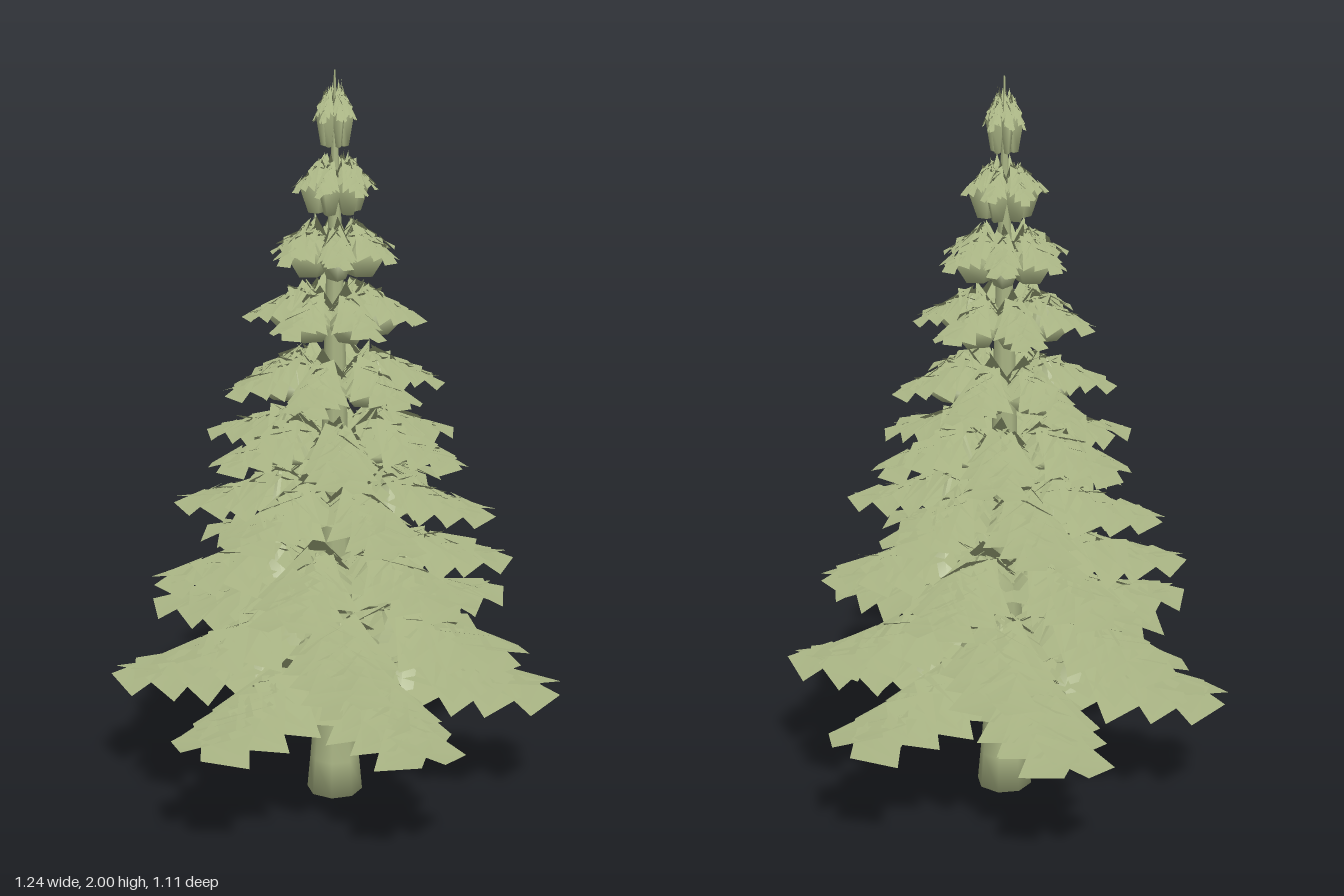
import * as THREE from 'three';

const green = new THREE.MeshStandardMaterial({ color: 0xa9b484, side: THREE.DoubleSide });
green.name = 'pale green';

// Tiers from bottom to top: [base height, reach, height of the skirt above the base]
const TIERS = [
  [0.295, 0.62, 0.043], [0.455, 0.56, 0.04], [0.625, 0.5, 0.04], [0.795, 0.435, 0.04],
  [0.96, 0.38, 0.04], [1.12, 0.3, 0.05], [1.295, 0.245, 0.055], [1.46, 0.185, 0.06],
  [1.625, 0.115, 0.068], [1.8, 0.058, 0.07],
];
const PEAK = 0.175;
const TURN = THREE.MathUtils.degToRad(20);

// Needle card pairs on one bough, as fractions of reach: [start, length, width, splay in degrees]
const CARDS = [
  [0.0, 0.3, 0.22, 16], [0.05, 0.26, 0.2, 45], [0.13, 0.25, 0.2, 62], [0.22, 0.27, 0.2, 18],
  [0.27, 0.27, 0.2, 60], [0.36, 0.26, 0.2, 34], [0.43, 0.27, 0.2, 54],
  [0.52, 0.26, 0.2, 30], [0.6, 0.24, 0.2, 48], [0.68, 0.22, 0.2, 14], [0.77, 0.215, 0.2, 38],
];

function seeded(seed) {
  let s = seed;
  return () => ((s = (s * 16807) % 2147483647) / 2147483647);
}

// Height of a bough at u along and w across: a ridge peaking near the trunk,
// falling to a skirt that droops at the sides
function boughHeight(u, w, reach, skirt) {
  const ridge = u < 0.3 ? Math.max(u, 0) / 0.3 : (1 - u) / 0.7;
  const across = Math.max(0, 1 - Math.abs(w) / 0.34);
  return skirt + (PEAK - skirt) * ridge * across - 0.33 * Math.abs(w) * reach;
}

// Sheet of flat needle cards splayed to both sides of the ridge
function needleSheet(reach, skirt, rand) {
  const pos = [];
  const index = [];
  CARDS.forEach(([start, length, width, splay], n) => {
    for (const side of [-1, 1]) {
      const wobble = n === CARDS.length - 1 ? 0 : (rand() - 0.5) * 16;
      const a = THREE.MathUtils.degToRad(splay + wobble);
      const lift = (rand() - 0.4) * 0.016;
      const base = pos.length / 3;
      for (const [l, k] of [[0, -1], [length, -1], [length, 1], [0, 1]]) {
        const u = start + l * Math.cos(a) - k * (width / 2) * Math.sin(a);
        const w = l * Math.sin(a) + k * (width / 2) * Math.cos(a);
        pos.push(u * reach, boughHeight(u, w, reach, skirt) + lift, side * w * reach);
      }
      // Keep the upper face outward on both sides
      const [p, q, r, s] = [base, base + 1, base + 2, base + 3];
      if (side > 0) index.push(p, r, q, p, s, r);
      else index.push(p, q, r, p, r, s);
    }
  });
  const geo = new THREE.BufferGeometry();
  geo.setAttribute('position', new THREE.Float32BufferAttribute(pos, 3));
  geo.setIndex(index);
  geo.computeVertexNormals();
  // Soften the foliage by leaning its normals upward
  const normal = geo.attributes.normal;
  for (let i = 0; i < normal.count; i++) normal.setY(i, normal.getY(i) + 2);
  geo.normalizeNormals();
  return geo;
}

// Closed, smooth diamond-shaped body beneath the needles, with a blunt underside
function boughCore(reach, skirt, t) {
  const halfLength = 0.31 + 0.012 * t;
  const bottom = 0.03 - 0.003 * t;
  const profile = [[0, bottom], [0.5, bottom + 0.004], [1, skirt + 0.01], [0, PEAK - 0.045]]
    .map(([x, y]) => new THREE.Vector2(x, y));
  const geo = new THREE.LatheGeometry(profile, 4);
  geo.scale(halfLength * reach, 1, (0.19 + 0.01 * t) * reach);
  geo.translate(halfLength * reach, 0, 0);
  return geo;
}

export function createModel() {
  const tree = new THREE.Group();
  tree.name = 'conifer';

  // Tapered trunk ending in a thin spike
  const profile = [
    [0, 0], [0.077, 0], [0.068, 0.1], [0.06, 0.2], [0.054, 0.36], [0.044, 0.7],
    [0.036, 1.0], [0.027, 1.35], [0.016, 1.65], [0.006, 1.88], [0.002, 2],
  ].map(([x, y]) => new THREE.Vector2(x, y));
  const trunk = new THREE.Mesh(new THREE.LatheGeometry(profile, 8), green);
  trunk.name = 'trunk';
  tree.add(trunk);

  // Six boughs per tier, each tier turned from the one below
  TIERS.forEach(([height, reach, skirt], t) => {
    const tier = new THREE.Group();
    tier.name = `branchTier${t + 1}`;
    tier.position.y = height;
    tier.rotation.y = -TURN * t;
    const core = boughCore(reach, skirt, t);
    const rand = seeded(4177 + t * 911);
    for (let b = 0; b < 6; b++) {
      const bough = new THREE.Group();
      bough.name = 'bough';
      bough.rotation.y = (b * Math.PI) / 3;
      const needles = new THREE.Mesh(needleSheet(reach, skirt, rand), green);
      needles.name = 'needles';
      const body = new THREE.Mesh(core, green);
      body.name = 'boughCore';
      bough.add(needles, body);
      tier.add(bough);
    }
    tree.add(tier);
  });
  return tree;
}
